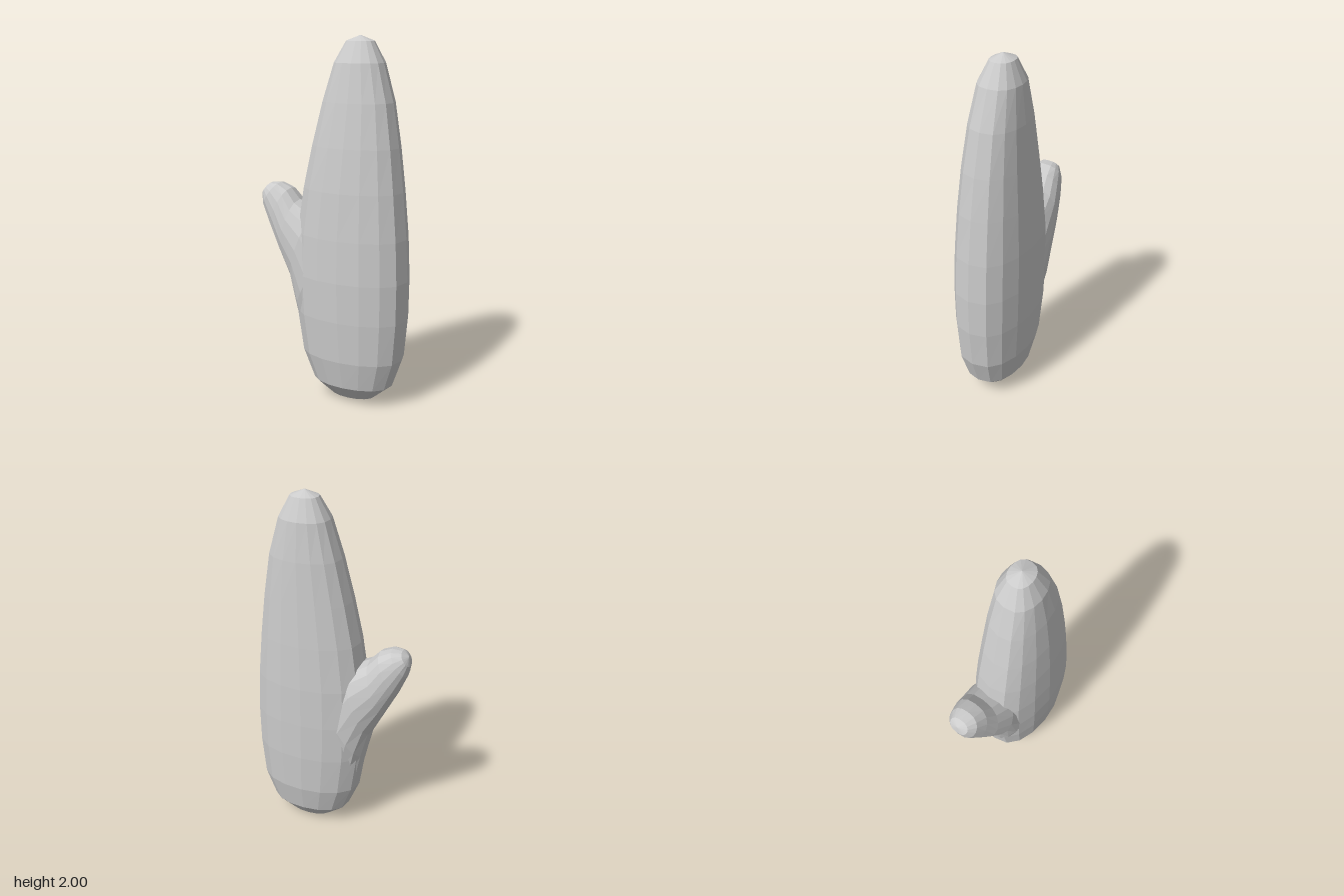
import * as THREE from 'three';

const SIDES = 16;
const material = new THREE.MeshStandardMaterial({ color: 0xcccccc, flatShading: true });

// Each section: [left x, left y, right x, right y, back z, front z].
// Equal ends make a closed tip.
function loft(name, sections) {
  const rings = sections.map(([x0, y0, x1, y1, z0, z1]) =>
    Array.from({ length: SIDES }, (_, j) => {
      const a = (j / SIDES) * Math.PI * 2;
      const t = (1 + Math.cos(a)) / 2;
      const s = Math.sign(Math.sin(a)) * Math.abs(Math.sin(a)) ** 0.78; // fuller than an ellipse
      return new THREE.Vector3(
        x0 + (x1 - x0) * t,
        y0 + (y1 - y0) * t,
        (z0 + z1) / 2 + ((z1 - z0) / 2) * s
      );
    })
  );
  const points = [];
  const face = (a, b, c) => {
    if (a.distanceTo(b) > 1e-6 && b.distanceTo(c) > 1e-6 && c.distanceTo(a) > 1e-6) points.push(a, b, c);
  };
  for (let i = 0; i < rings.length - 1; i++) {
    for (let j = 0; j < SIDES; j++) {
      const k = (j + 1) % SIDES;
      face(rings[i][j], rings[i + 1][j], rings[i][k]);
      face(rings[i][k], rings[i + 1][j], rings[i + 1][k]);
    }
  }
  const geometry = new THREE.BufferGeometry().setFromPoints(points);
  geometry.computeVertexNormals();
  const mesh = new THREE.Mesh(geometry, material);
  mesh.name = name;
  return mesh;
}

export function createModel() {
  const group = new THREE.Group();
  group.name = 'mitten';

  // Flat hand, from the rounded wrist end up to the narrow fingertip end
  const hand = [
    // y, left x, right x, back z, front z
    [0, 0.13, 0.13, 0, 0],
    [0.025, 0.0, 0.26, -0.085, 0.085],
    [0.11, -0.1, 0.36, -0.15, 0.155],
    [0.27, -0.165, 0.415, -0.185, 0.187],
    [0.5, -0.2, 0.435, -0.198, 0.2],
    [0.72, -0.21, 0.437, -0.202, 0.202],
    [0.95, -0.2, 0.425, -0.2, 0.193],
    [1.2, -0.163, 0.4, -0.19, 0.175],
    [1.43, -0.115, 0.37, -0.178, 0.15],
    [1.66, -0.06, 0.33, -0.165, 0.117],
    [1.86, 0.0, 0.27, -0.145, 0.08],
    [1.97, 0.06, 0.21, -0.1, 0.025],
    [2.0, 0.135, 0.135, -0.037, -0.037]
  ];
  group.add(loft('hand', hand.map(([y, x0, x1, z0, z1]) => [x0, y, x1, y, z0, z1])));

  // Thumb, from its root sunk in the palm out to the rounded tip
  group.add(loft('thumb', [
    [-0.04, 0.5, -0.04, 0.5, 0, 0],
    [-0.165, 0.32, 0.1, 0.7, -0.13, 0.13],
    [-0.203, 0.5, 0.03, 0.9, -0.165, 0.16],
    [-0.24, 0.66, -0.1, 1.05, -0.16, 0.145],
    [-0.31, 0.8, -0.215, 1.11, -0.14, 0.12],
    [-0.385, 0.95, -0.27, 1.17, -0.12, 0.095],
    [-0.43, 1.06, -0.335, 1.197, -0.095, 0.075],
    [-0.44, 1.12, -0.39, 1.193, -0.065, 0.045],
    [-0.428, 1.168, -0.428, 1.168, -0.01, -0.01]
  ]));

  return group;
}
